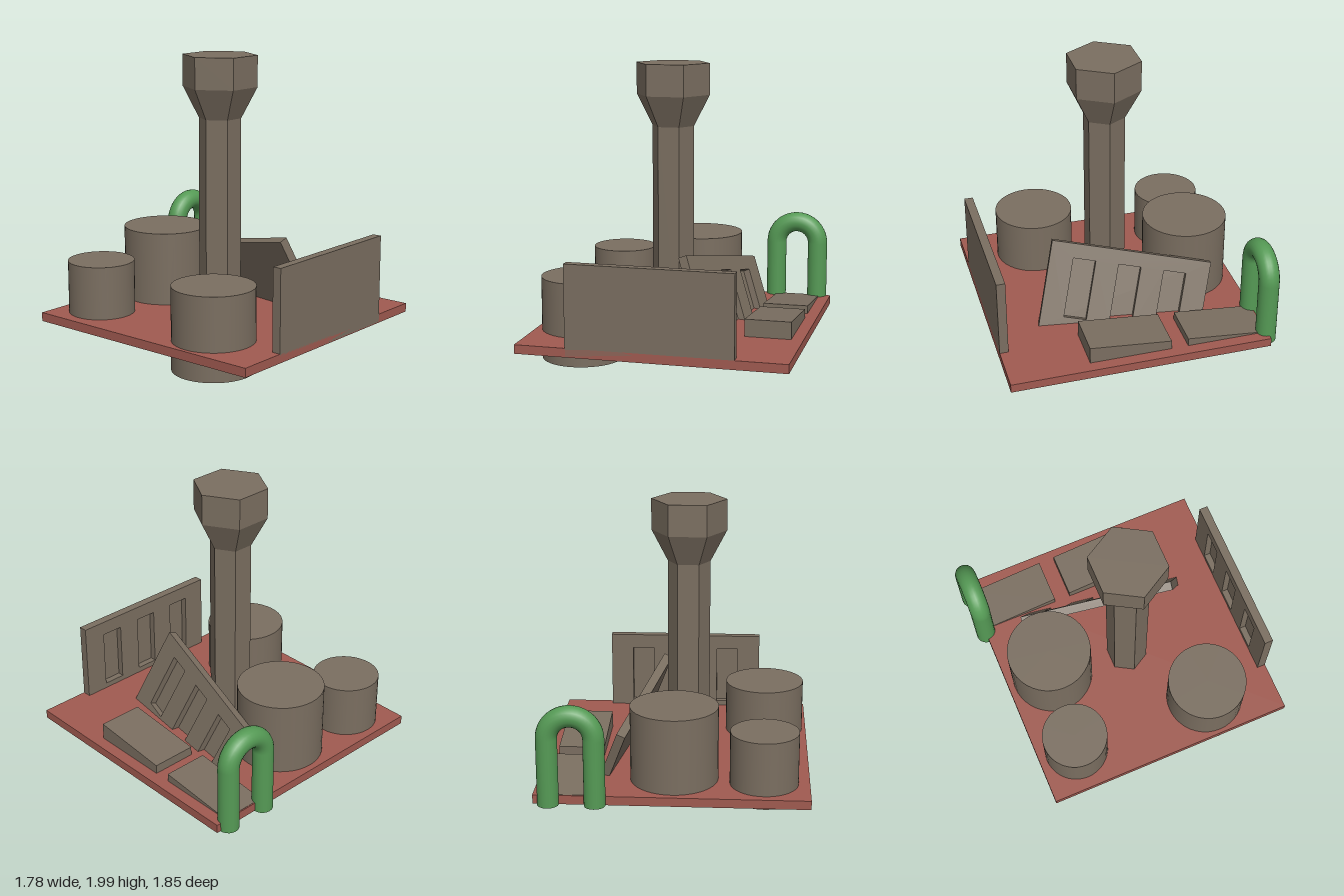
import * as THREE from 'three';

const GREY = 0x7a6e60, RED = 0xa05a50, GREEN = 0x559a55;

function add(parent, name, geometry, color, x = 0, y = 0, z = 0, options = {}) {
  const mesh = new THREE.Mesh(geometry, new THREE.MeshStandardMaterial({ color, ...options }));
  mesh.name = name;
  mesh.position.set(x, y, z);
  parent.add(mesh);
  return mesh;
}

function rectangle(path, x, y, w, h) {
  path.moveTo(x - w / 2, y - h / 2);
  path.lineTo(x + w / 2, y - h / 2);
  path.lineTo(x + w / 2, y + h / 2);
  path.lineTo(x - w / 2, y + h / 2);
  path.closePath();
  return path;
}

// Panel with three recessed windows; its open face lies at local z = 0, facing +z
function makePanel(name) {
  const panel = new THREE.Group();
  panel.name = name;
  const width = 1.1, height = 0.6, recess = 0.045, backing = 0.015;
  const shape = rectangle(new THREE.Shape(), 0, 0, width, height);
  for (const x of [-0.313, 0, 0.313]) {
    shape.holes.push(rectangle(new THREE.Path(), x, -0.005, 0.155, 0.41));
  }
  const frame = new THREE.ExtrudeGeometry(shape, { depth: recess, bevelEnabled: false });
  add(panel, 'windowFrame', frame, GREY, 0, 0, -recess);
  add(panel, 'panelBacking', new THREE.BoxGeometry(width, height, backing), GREY,
    0, 0, -recess - backing / 2);
  return panel;
}

// Wedge ramp: side profile in (z, y) extruded across x
function makeRamp(zFront, yFront, zBack, yBack) {
  const floor = 0.22;
  const shape = new THREE.Shape([
    new THREE.Vector2(-zFront, floor), new THREE.Vector2(-zBack, floor),
    new THREE.Vector2(-zBack, yBack), new THREE.Vector2(-zFront, yFront),
  ]);
  const geometry = new THREE.ExtrudeGeometry(shape, { depth: 0.31, bevelEnabled: false });
  return geometry.rotateY(Math.PI / 2);
}

export function createModel() {
  const model = new THREE.Group();
  model.name = 'toyBoard';

  // Base plate
  add(model, 'basePlate', new THREE.BoxGeometry(1.78, 0.06, 1.78), RED, 0, 0.22, 0.032);

  // Round drums sunk through the plate: x, z, radius, bottom, top
  const drums = [
    ['backLeftDrum', -0.59, -0.58, 0.225, 0.16, 0.61],
    ['backCentreDrum', 0, -0.525, 0.29, 0.175, 0.755],
    ['frontLeftDrum', -0.59, 0.42, 0.273, 0.055, 0.61],
  ];
  for (const [name, x, z, r, bottom, top] of drums) {
    add(model, name, new THREE.CylinderGeometry(r, r, top - bottom, 40), GREY,
      x, (bottom + top) / 2, z);
  }

  // Hexagonal column with flared head
  const profile = [[0, 0.07], [0.143, 0.07], [0.143, 1.58], [0.252, 1.79], [0.252, 2], [0, 2]]
    .map(([r, y]) => new THREE.Vector2(r, y));
  const column = add(model, 'hexColumn', new THREE.LatheGeometry(profile, 6), GREY,
    -0.067, 0, 0.033, { flatShading: true });
  column.rotation.y = Math.PI / 6;

  // Upright front panel, windows facing inward
  const frontPanel = makePanel('frontPanel');
  frontPanel.position.set(0, 0.497, 0.862);
  frontPanel.rotation.y = Math.PI;
  model.add(frontPanel);

  // Leaning panel, pushed through the plate
  const leaningPanel = makePanel('leaningPanel');
  const along = new THREE.Vector3(0.222, -0.195, -0.956).normalize();
  const normal = new THREE.Vector3().crossVectors(along, new THREE.Vector3(-0.342, 0.91, -0.234)).normalize();
  const up = new THREE.Vector3().crossVectors(normal, along);
  leaningPanel.quaternion.setFromRotationMatrix(new THREE.Matrix4().makeBasis(along, up, normal));
  leaningPanel.position.set(0.35, 0.41, 0.003);
  model.add(leaningPanel);

  // Two ramps in line
  add(model, 'frontRamp', makeRamp(0.375, 0.367, -0.183, 0.312), GREY, 0.5);
  add(model, 'backRamp', makeRamp(-0.298, 0.306, -0.85, 0.252), GREY, 0.5);

  // Bent tube arch
  const arch = new THREE.CurvePath();
  const legs = [0.79, 0.49], bend = 0.64, radius = 0.15;
  const point = (x, y) => new THREE.Vector3(x, y, 0);
  const k = radius * 0.5523;
  arch.add(new THREE.LineCurve3(point(legs[0], 0.187), point(legs[0], bend)));
  arch.add(new THREE.CubicBezierCurve3(point(legs[0], bend), point(legs[0], bend + k),
    point(0.64 + k, bend + radius), point(0.64, bend + radius)));
  arch.add(new THREE.CubicBezierCurve3(point(0.64, bend + radius), point(0.64 - k, bend + radius),
    point(legs[1], bend + k), point(legs[1], bend)));
  arch.add(new THREE.LineCurve3(point(legs[1], bend), point(legs[1], 0.187)));
  add(model, 'tubeArch', new THREE.TubeGeometry(arch, 64, 0.07, 20), GREEN, 0, 0, -0.855);
  for (const x of legs) {
    add(model, 'tubeEnd', new THREE.CircleGeometry(0.07, 20).rotateX(Math.PI / 2), GREEN, x, 0.187, -0.855);
  }

  return model;
}
